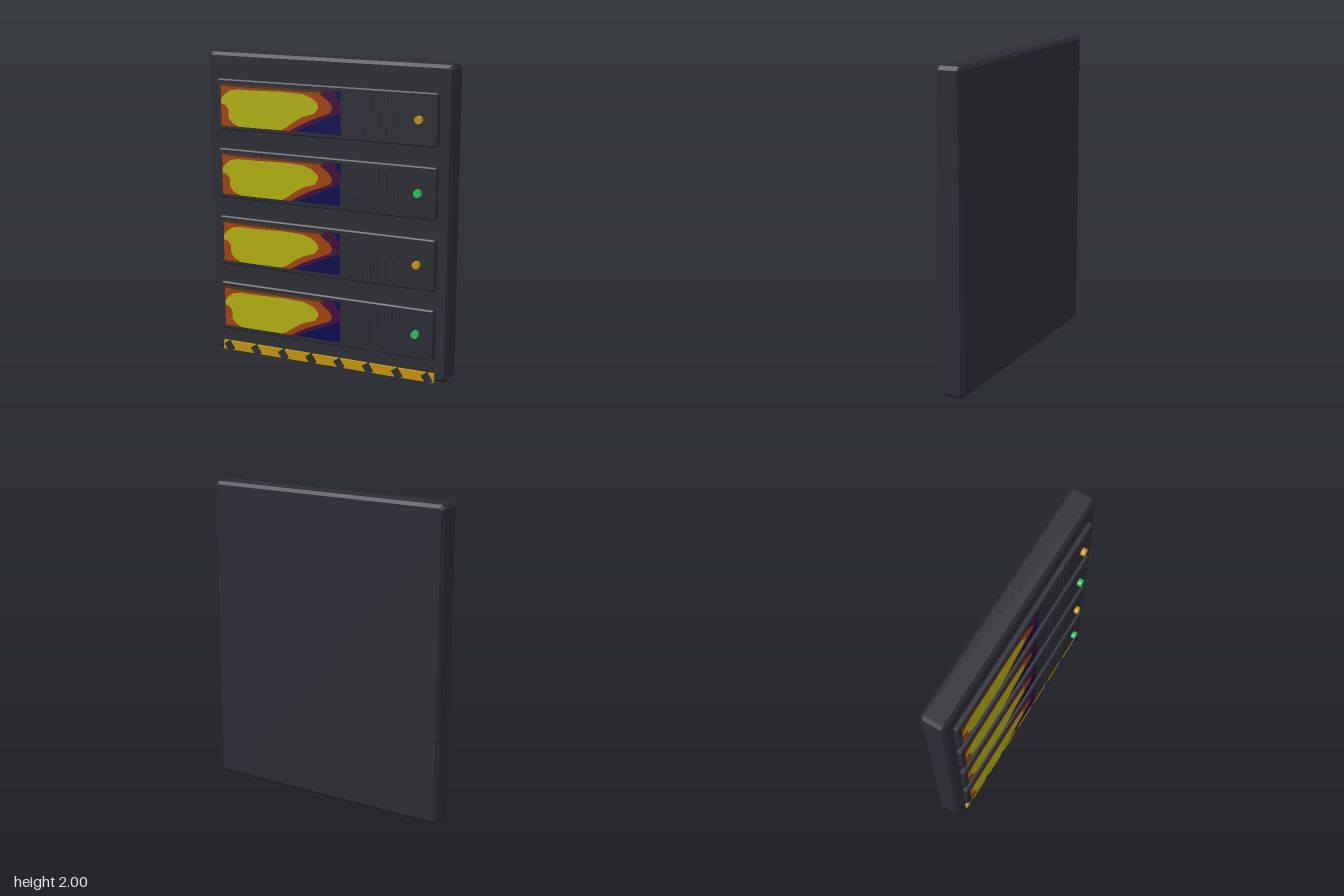
import * as THREE from 'three';

const mat = (name, color, side = THREE.FrontSide) => {
  const m = new THREE.MeshStandardMaterial({ color, side });
  m.name = name;
  return m;
};

// Box with chamfered edges and corners, centred on the origin
function chamferBox(w, h, d, c) {
  const x = w / 2 - c, y = h / 2 - c, k = c * 0.5;
  const s = new THREE.Shape([
    [-x + k, -y], [x - k, -y], [x, -y + k], [x, y - k],
    [x - k, y], [-x + k, y], [-x, y - k], [-x, -y + k],
  ].map(([a, b]) => new THREE.Vector2(a, b)));
  const g = new THREE.ExtrudeGeometry(s, {
    depth: d - 2 * c, bevelEnabled: true, bevelThickness: c, bevelSize: c, bevelSegments: 1,
  });
  return g.translate(0, 0, -(d / 2 - c));
}

// Heat map bands on a 157 x 51 grid, origin at the screen's top left
const SCREEN_W = 0.83, SCREEN_H = 0.27;
const bands = {
  purple: [[0, 0], [150, 0], [153, 8], [157, 12], [157, 25], [147, 29], [134, 35], [119, 42], [107, 47], [101, 51], [0, 51]],
  orange: [[0, 0], [128, 0], [134, 7], [143, 13], [147, 20], [144, 26], [132, 31], [122, 35], [107, 42], [97, 48], [92, 51], [0, 51]],
  yellow: [[0, 19], [5, 13], [12, 8], [22, 6], [47, 6], [82, 5], [109, 6], [121, 10], [128, 16], [129, 21], [124, 28],
    [109, 33], [97, 40], [89, 46], [80, 51], [24, 51], [15, 47], [10, 41], [10, 31], [6, 26], [0, 24]],
  brown: [[0, 0], [134, 0], [138, 3], [10, 3], [8, 2], [0, 2]],
};
function bandGeometry(points) {
  const s = new THREE.Shape(points.map(([u, v]) =>
    new THREE.Vector2((u / 157 - 0.5) * SCREEN_W, (0.5 - v / 51) * SCREEN_H)));
  return new THREE.ShapeGeometry(s);
}

export function createModel() {
  const root = new THREE.Group();
  root.name = 'rackPanel';
  const casing = mat('casing', 0x2d2d36);
  const amber = mat('amber', 0xc8980f);
  const green = mat('green', 0x22c55e);
  const navy = mat('navy', 0x0a0a50);
  const bandMats = {
    purple: mat('purple', 0x420e3e),
    orange: mat('orange', 0xa5440f),
    yellow: mat('yellow', 0xb5b30f),
    brown: mat('brown', 0x50341f),
  };

  const add = (parent, name, geometry, material, x, y, z) => {
    const m = new THREE.Mesh(geometry, material);
    m.name = name;
    m.position.set(x, y, z);
    parent.add(m);
    return m;
  };

  // Main slab
  add(root, 'body', chamferBox(1.65, 1.98, 0.161, 0.02), casing, 0, 1.01, -0.0305);

  // Four display units, top to bottom
  const panelGeo = chamferBox(1.49, 0.326, 0.04, 0.008);
  const ventGeo = new THREE.BoxGeometry(0.016, 0.25, 0.01);
  const ledGeo = new THREE.CylinderGeometry(0.025, 0.025, 0.03, 10).rotateX(Math.PI / 2);
  const screenGeo = new THREE.BoxGeometry(SCREEN_W, SCREEN_H, 0.006);
  const bandGeos = Object.entries(bands).map(([name, pts]) => [name, bandGeometry(pts)]);

  for (let i = 0; i < 4; i++) {
    const unit = new THREE.Group();
    unit.name = 'displayUnit' + (i + 1);
    unit.position.y = 1.673 - i * 0.4477;
    root.add(unit);
    add(unit, 'panel', panelGeo, casing, 0, 0, 0.064);

    // Screen with stacked heat bands
    add(unit, 'screen', screenGeo, navy, -0.302, 0, 0.082);
    bandGeos.forEach(([name, geo], k) =>
      add(unit, name + 'Band', geo, bandMats[name], -0.302, 0, 0.0862 + k * 0.0012));

    // Vent ribs
    for (let k = 0; k < 5; k++) add(unit, 'ventRib', ventGeo, casing, 0.262 + k * 0.05, 0, 0.083);

    // Status light
    add(unit, 'statusLight', ledGeo, i % 2 ? green : amber, 0.627, 0, 0.096);
  }

  // Hazard strip along the foot
  add(root, 'hazardStrip', new THREE.BoxGeometry(1.49, 0.06, 0.018), amber, 0, 0.047, 0.058);
  const markGeo = new THREE.BoxGeometry(0.05, 0.067, 0.016);
  for (let i = 0; i < 8; i++) {
    add(root, 'hazardMark', markGeo, casing, -0.7 + i * 0.2, 0.042, 0.064).rotation.z = 0.6;
  }
  return root;
}
